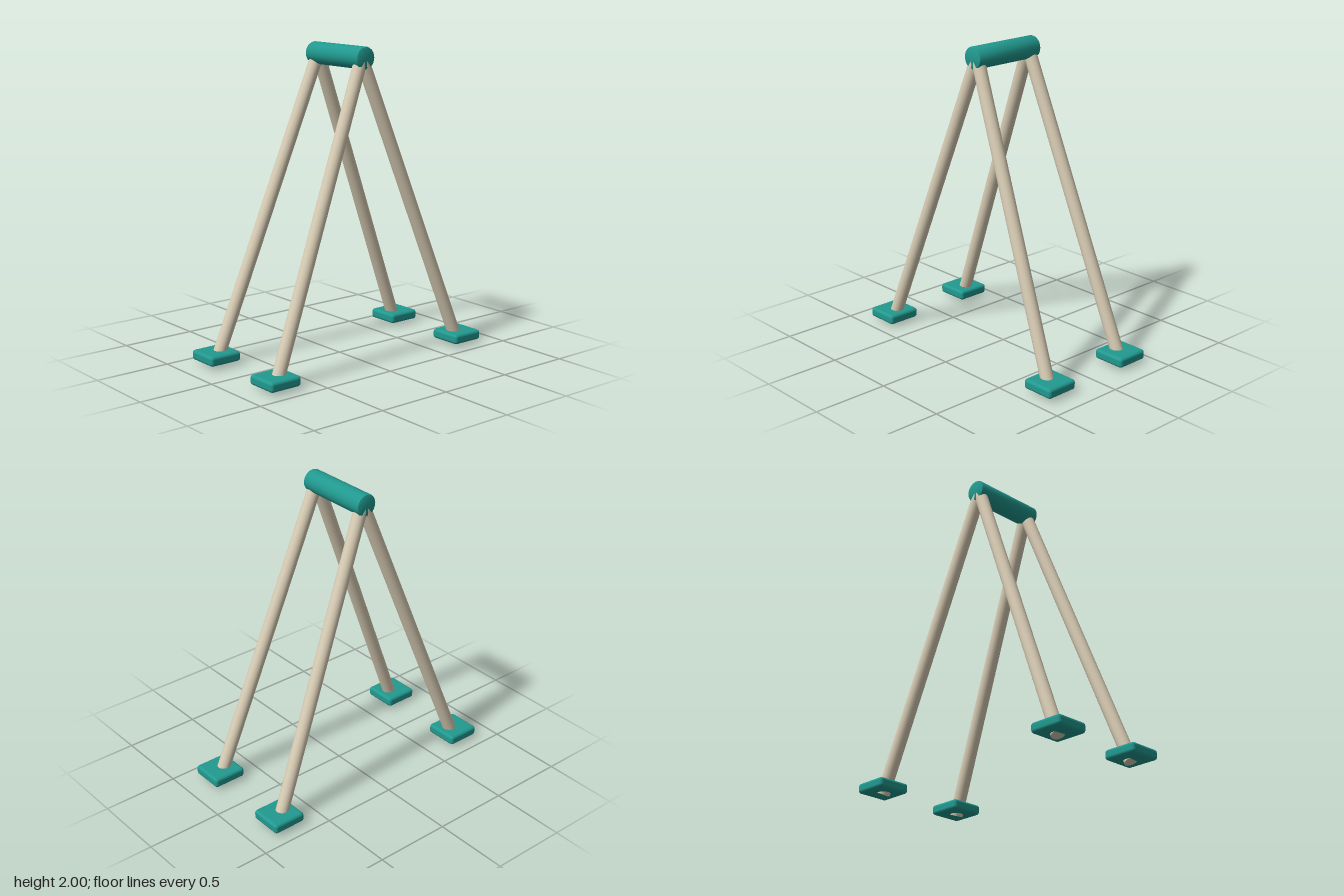
import * as THREE from 'three';
import { RoundedBoxGeometry } from 'three/addons/geometries/RoundedBoxGeometry.js';
import { toCreasedNormals } from 'three/addons/utils/BufferGeometryUtils.js';

export function createModel() {
  const model = new THREE.Group();
  model.name = 'trestleStand';

  const teal = new THREE.MeshStandardMaterial({ color: 0x21998f });
  teal.name = 'teal';
  const beige = new THREE.MeshStandardMaterial({ color: 0xd8ccb4 });
  beige.name = 'beige';

  // Top bar: a rod along z with softened rims
  const r = 0.071, half = 0.256, rim = 0.01;
  const profile = [
    [0, -half], [r - rim, -half], [r - rim * 0.3, -half + rim * 0.3], [r, -half + rim],
    [r, half - rim], [r - rim * 0.3, half - rim * 0.3], [r - rim, half], [0, half],
  ].map(([x, y]) => new THREE.Vector2(x, y));
  const barGeometry = toCreasedNormals(new THREE.LatheGeometry(profile, 24), 0.6);
  barGeometry.rotateX(Math.PI / 2);
  const bar = new THREE.Mesh(barGeometry, teal);
  bar.name = 'topBar';
  bar.position.y = 1.929;
  model.add(bar);

  // Four splayed legs, each passing through a rounded foot pad
  const up = new THREE.Vector3(0, 1, 0);
  const footGeometry = new RoundedBoxGeometry(0.225, 0.065, 0.225, 3, 0.02);
  for (const [sx, xName] of [[1, 'Left'], [-1, 'Right']]) {
    for (const [sz, zName] of [[1, 'front'], [-1, 'back']]) {
      const top = new THREE.Vector3(0, 1.93, sz * 0.213);
      const bottom = new THREE.Vector3(sx * 0.748, 0.016, sz * 0.313);
      const axis = top.clone().sub(bottom);

      const leg = new THREE.Mesh(new THREE.CylinderGeometry(0.042, 0.042, axis.length(), 24), beige);
      leg.name = `${zName}${xName}Leg`;
      leg.position.copy(top).add(bottom).multiplyScalar(0.5);
      leg.quaternion.setFromUnitVectors(up, axis.normalize());
      model.add(leg);

      const foot = new THREE.Mesh(footGeometry, teal);
      foot.name = `${zName}${xName}Foot`;
      foot.position.set(sx * 0.75, 0.055, sz * 0.313);
      model.add(foot);
    }
  }
  return model;
}
